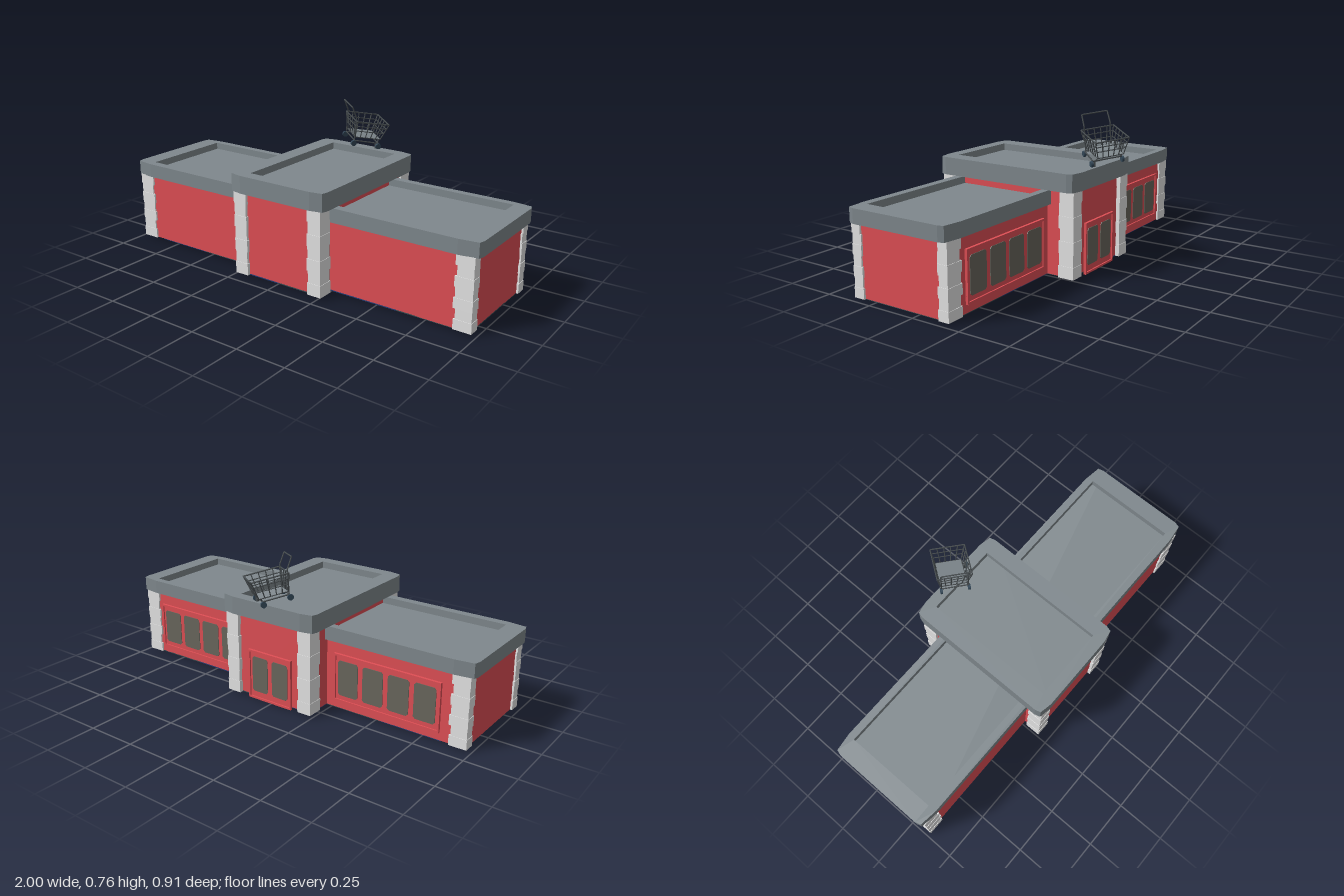
import * as THREE from 'three';

const mat = (name, color) => Object.assign(new THREE.MeshStandardMaterial({ color }), { name });

export function createModel() {
  const red = mat('red wall', 0xe04f55);
  const grey = mat('roof grey', 0x7f888d);
  const stone = mat('pale stone', 0xe6e6e6);
  const glass = mat('window glass', 0x69675d);
  const dark = mat('floor dark', 0x3a4d54);
  const navy = mat('floor navy', 0x253f7a);
  const metal = mat('cart metal', 0x474d50);
  const tyre = mat('cart wheel', 0x34495a);
  const model = new THREE.Group();

  const add = (parent, name, geometry, material) => {
    const mesh = new THREE.Mesh(geometry, material);
    mesh.name = name;
    parent.add(mesh);
    return mesh;
  };
  // Box given by its limits on each axis
  const box = (parent, name, material, x0, x1, y0, y1, z0, z1) => {
    const mesh = add(parent, name, new THREE.BoxGeometry(x1 - x0, y1 - y0, z1 - z0), material);
    mesh.position.set((x0 + x1) / 2, (y0 + y1) / 2, (z0 + z1) / 2);
    return mesh;
  };

  // Walls
  box(model, 'wingWalls', red, -0.97, 0.97, 0.012, 0.38, -0.172, 0.347);
  box(model, 'centreWalls', red, -0.23, 0.252, 0.012, 0.45, -0.305, 0.43);

  // Floor plates, each section half dark and half navy
  for (const [x0, x1, z0, z1] of [[0.25, 0.97, -0.172, 0.347], [-0.23, 0.25, -0.305, 0.43], [-0.85, -0.23, -0.172, 0.347]]) {
    const mid = (x0 + x1) / 2;
    box(model, 'floorNavy', navy, x0, mid, 0.009, 0.014, z0, z1);
    box(model, 'floorDark', dark, mid, x1, 0.009, 0.014, z0, z1);
  }

  // Flat roofs: a slab with a raised rim and slightly tapered corners
  const roof = (name, [x0, x1, z0, z1], [hx0, hx1, hz0, hz1], y0, y1, cx, cz, cut) => {
    const outline = () => new THREE.Shape([
      [x0, -z1 + cz], [x0 + cut, -z1 + cz * 0.3], [x0 + cx, -z1], [x1 - cx, -z1], [x1 - cut, -z1 + cz * 0.3], [x1, -z1 + cz],
      [x1, -z0 - cz], [x1 - cut, -z0 - cz * 0.3], [x1 - cx, -z0], [x0 + cx, -z0], [x0 + cut, -z0 - cz * 0.3], [x0, -z0 - cz],
    ].map(([x, y]) => new THREE.Vector2(x, y)));
    const rim = outline();
    rim.holes.push(new THREE.Path([[hx0, -hz1], [hx0, -hz0], [hx1, -hz0], [hx1, -hz1]].map(([x, y]) => new THREE.Vector2(x, y))));
    const layer = (part, shape, from, to) => {
      const g = new THREE.ExtrudeGeometry(shape, { depth: to - from, bevelEnabled: false });
      g.rotateX(-Math.PI / 2).translate(0, from, 0);
      add(model, name + part, g, grey);
    };
    layer('Slab', outline(), y0, y1 - 0.035);
    layer('Rim', rim, y1 - 0.035, y1);
  };
  roof('wingRoof', [-1, 1, -0.192, 0.362], [-0.905, 0.915, -0.155, 0.32], 0.355, 0.425, 0.1, 0.04, 0.008);
  roof('centreRoof', [-0.26, 0.285, -0.336, 0.456], [-0.175, 0.205, -0.28, 0.395], 0.428, 0.516, 0.07, 0.04, 0.008);

  // Corner pillars of uneven stone courses; (cx, cz) is the outer corner, (sx, sz) points outwards
  const reach = [0.004, -0.004, 0.007, 0, 0.005, -0.005, 0.003];
  const pillar = (cx, cz, sx, sz, top, w, d, rough) => {
    const group = new THREE.Group();
    group.name = 'stonePillar';
    const h = (top - 0.01) / 7;
    for (let i = 0; i < 7; i++) {
      const out = (i % 2) * 0.002;
      const xs = [cx - sx * out, cx - sx * (w + rough * reach[i])].sort((a, b) => a - b);
      const zs = [cz - sz * out, cz - sz * (d + 0.6 * reach[(i + 2) % 7])].sort((a, b) => a - b);
      box(group, 'stoneBlock', stone, ...xs, 0.01 + i * h, 0.01 + (i + 1) * h, ...zs);
    }
    model.add(group);
  };
  for (const s of [-1, 1]) {
    pillar(s * 0.98, 0.356, s, 1, 0.356, 0.085, 0.052, 1);
    pillar(s * 0.98, -0.182, s, -1, 0.356, 0.085, 0.052, 1);
    pillar(0.0125 + s * 0.254, 0.446, s, 1, 0.431, 0.073, 0.077, 0.4);
    pillar(0.0125 + s * 0.254, -0.326, s, -1, 0.431, 0.073, 0.079, 0.4);
  }

  // Back windows and door: a red frame holding glass panes with clipped corners
  const glazing = (name, x0, x1, y0, y1, zWall, panes, sill) => {
    const group = new THREE.Group();
    group.name = name;
    const t = 0.01, zOut = zWall - 0.014;
    box(group, 'panel', red, x0, x1, y0, y1, zWall - 0.007, zWall - 0.001);
    box(group, 'frameTop', red, x0, x1, y1 - t, y1, zOut, zWall - 0.001);
    box(group, 'frameBottom', red, x0, x1, y0, y0 + t, zOut, zWall - 0.001);
    box(group, 'frameSide', red, x0, x0 + t, y0, y1, zOut, zWall - 0.001);
    box(group, 'frameSide', red, x1 - t, x1, y0, y1, zOut, zWall - 0.001);
    const pitch = (x1 - x0 - 2 * t) / panes, w = pitch / 2 - 0.013, c = 0.01;
    const h = (y1 - y0 - sill - 0.032) / 2;
    const shape = new THREE.Shape([[-w + c, -h], [w - c, -h], [w, -h + c], [w, h - c], [w - c, h], [-w + c, h], [-w, h - c], [-w, -h + c]]
      .map(([x, y]) => new THREE.Vector2(x, y)));
    for (let i = 0; i < panes; i++) {
      const pane = add(group, 'glassPane', new THREE.ExtrudeGeometry(shape, { depth: 0.004, bevelEnabled: false }), glass);
      pane.position.set(x0 + t + pitch * (i + 0.5), y0 + sill + h, zWall - 0.01);
    }
    model.add(group);
  };
  glazing('rightWindows', 0.3, 0.865, 0.055, 0.297, -0.176, 4, 0.032);
  glazing('leftWindows', -0.845, -0.28, 0.055, 0.297, -0.176, 4, 0.032);
  glazing('door', -0.12, 0.14, 0, 0.255, -0.304, 2, 0.04);

  // Shopping cart perched on the back edge of the roof; its local +z is the cart's nose
  const cart = new THREE.Group();
  cart.name = 'shoppingCart';
  cart.position.set(0.006, 0.664, -0.333);
  cart.rotation.set(0.18, 2.515, 0.11, 'YXZ');
  model.add(cart);
  const rod = (name, a, b, r = 0.0022) => {
    const p = new THREE.Vector3(...a), q = new THREE.Vector3(...b);
    const mesh = add(cart, name, new THREE.CylinderGeometry(r, r, p.distanceTo(q), 6), metal);
    mesh.position.copy(p).lerp(q, 0.5);
    mesh.quaternion.setFromUnitVectors(new THREE.Vector3(0, 1, 0), q.sub(p).normalize());
  };
  const path = (name, pts, r) => pts.slice(1).forEach((p, i) => rod(name, pts[i], p, r));

  // Basket of tapering rings and upright wires
  const ring = (t) => {
    const w = 0.085 - 0.02 * t, z0 = -0.09 + 0.018 * t, z1 = 0.09 - 0.022 * t, y = -0.088 * t;
    return [[-w, y, z0], [w, y, z0], [w, y, z1], [-w, y, z1]];
  };
  for (const t of [0, 0.3, 0.6, 1]) {
    const c = ring(t);
    path('basketRing', [...c, c[0]], t === 0 ? 0.0035 : 0.0025);
  }
  const top = ring(0), low = ring(1);
  const mix = (a, b, t) => a.map((v, i) => v + (b[i] - v) * t);
  for (let s = 0; s < 4; s++) {
    for (let i = 0; i < 5; i++) {
      rod('basketWire', mix(top[s], top[(s + 1) % 4], i / 5), mix(low[s], low[(s + 1) % 4], i / 5), 0.0028);
    }
  }
  box(cart, 'basketFloor', grey, -0.065, 0.065, -0.09, -0.086, -0.072, 0.068);

  // Handle, undercarriage and wheels
  path('handle', [[-0.068, -0.1, -0.075], [-0.068, 0.015, -0.09], [-0.066, 0.066, -0.122],
    [0.066, 0.066, -0.122], [0.068, 0.015, -0.09], [0.062, -0.1, -0.075]], 0.0035);
  path('chassis', [[-0.074, -0.104, -0.075], [-0.085, -0.104, 0.053], [0.062, -0.104, 0.053],
    [0.06, -0.104, -0.075], [-0.074, -0.104, -0.075]], 0.0035);
  rod('chassisStrut', [-0.075, -0.104, 0.053], [-0.06, -0.088, 0.06], 0.003);
  rod('chassisStrut', [0.055, -0.104, 0.053], [0.06, -0.088, 0.06], 0.003);
  for (const [x, z] of [[-0.076, -0.078], [0.062, -0.078], [-0.092, 0.053], [0.066, 0.053]]) {
    const wheel = add(cart, 'wheel', new THREE.CylinderGeometry(0.015, 0.015, 0.011, 12), tyre);
    wheel.rotation.z = Math.PI / 2;
    wheel.position.set(x, -0.118, z);
  }

  // Post that carries the cart
  box(model, 'cartPost', metal, 0.068, 0.08, 0.5, 0.545, -0.322, -0.308);
  return model;
}
